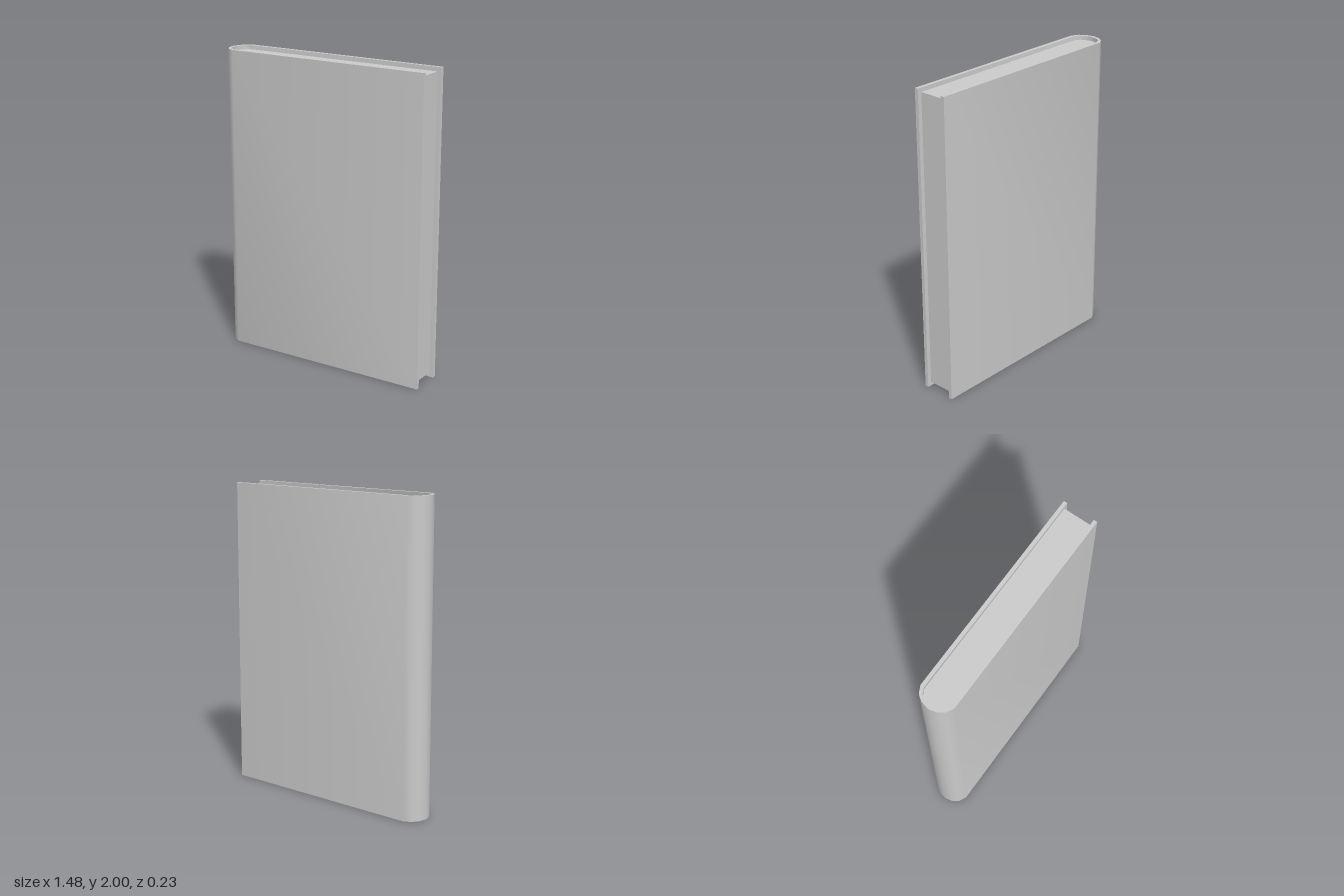
import * as THREE from 'three';
import { toCreasedNormals } from 'three/addons/utils/BufferGeometryUtils.js';

const HEIGHT = 2;
const COVER_EDGE = 0.739;
const PAGE_EDGE = 0.712;

// Half profiles [x, z] from the board's hinge to the middle of the spine
const OUTER = [[-0.652, 0.117], [-0.7, 0.092], [-0.727, 0.052], [-0.739, 0]];
const INNER = [[-0.652, 0.093], [-0.69, 0.073], [-0.707, 0.042], [-0.715, 0]];

// Mirrors a half profile into a U that opens towards +x
function uProfile(half, edge) {
  const side = [[edge, half[0][1]], ...half];
  const mirrored = side.slice(0, -1).reverse().map(([x, z]) => [x, -z]);
  return [...side, ...mirrored];
}

// Extrudes a plan outline upwards, keeping the rounded spine smooth
function upright(name, outline, y0, y1) {
  const shape = new THREE.Shape(outline.map(([x, z]) => new THREE.Vector2(x, z)));
  const extruded = new THREE.ExtrudeGeometry(shape, { depth: y1 - y0, bevelEnabled: false });
  extruded.rotateX(-Math.PI / 2).translate(0, y0, 0);
  const material = new THREE.MeshStandardMaterial({ color: 0xcccccc });
  const mesh = new THREE.Mesh(toCreasedNormals(extruded, 0.65), material);
  mesh.name = name;
  return mesh;
}

export function createModel() {
  const book = new THREE.Group();
  book.name = 'book';

  // Two boards joined by the rounded spine
  const coverOutline = [...uProfile(OUTER, COVER_EDGE), ...uProfile(INNER, COVER_EDGE).reverse()];
  book.add(upright('cover', coverOutline, 0, HEIGHT));

  // Page block, set in from the cover at top, bottom and fore edge
  book.add(upright('pages', uProfile(INNER, PAGE_EDGE), 0.027, HEIGHT - 0.027));

  return book;
}
